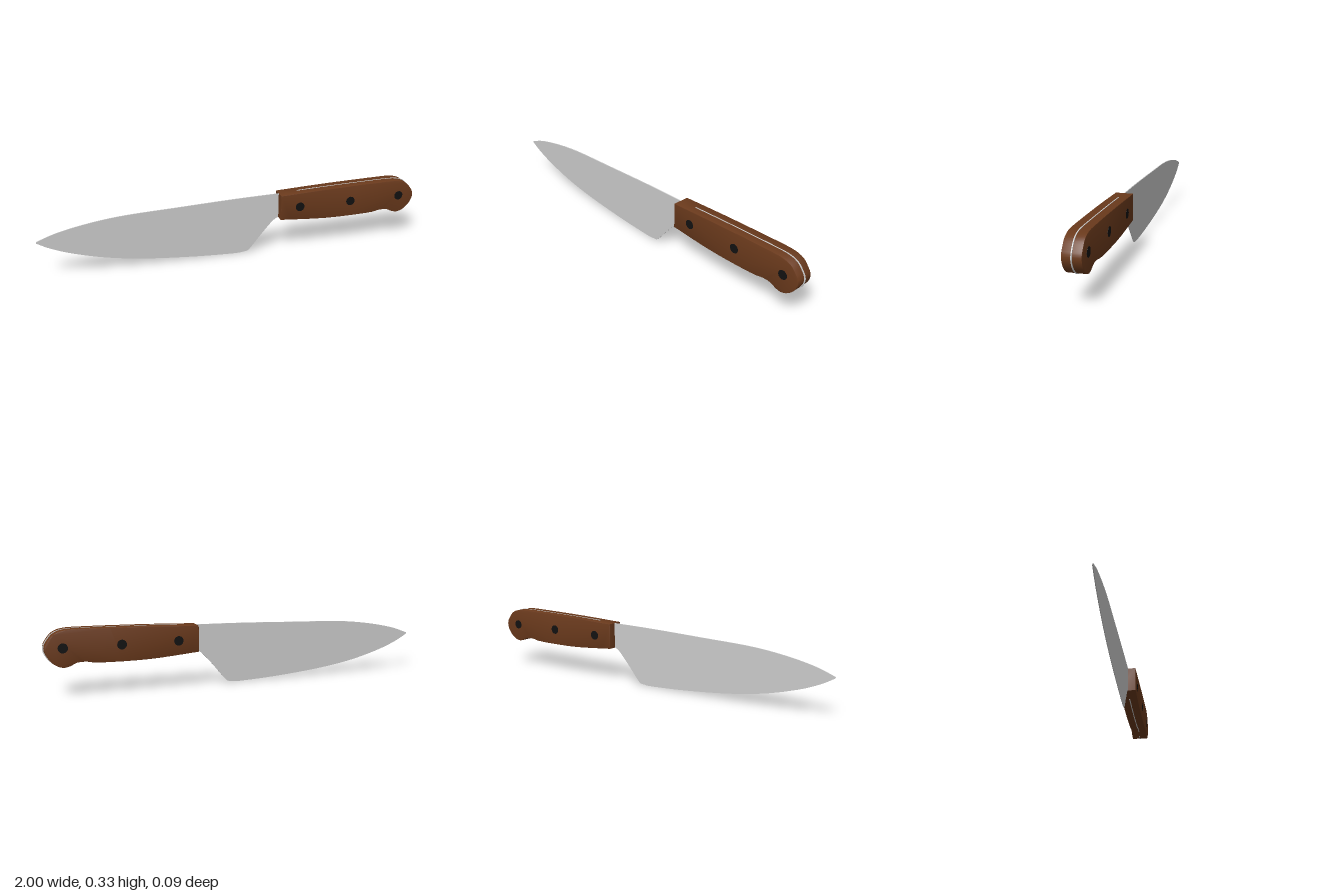
import * as THREE from 'three';
import { toCreasedNormals } from 'three/addons/utils/BufferGeometryUtils.js';

const steel = new THREE.MeshStandardMaterial({ color: 0xcccccc });
const wood = new THREE.MeshStandardMaterial({ color: 0x6b3a1c });
const black = new THREE.MeshStandardMaterial({ color: 0x111111 });

const vecs = (pts) => pts.map(([x, y]) => new THREE.Vector2(x, y));

// Closed outline made of several smooth runs that meet at corners
function outline(runs) {
  const shape = new THREE.Shape();
  shape.moveTo(...runs[0][0]);
  for (const run of runs) {
    if (run.length === 2) shape.lineTo(...run[1]);
    else shape.splineThru(vecs(run.slice(1)));
  }
  return shape;
}

// Flat plate centred on z = 0
function plate(shape, depth, curveSegments, bevel = 0) {
  const geo = new THREE.ExtrudeGeometry(shape, {
    depth: depth - 2 * bevel, curveSegments,
    bevelEnabled: bevel > 0, bevelThickness: bevel, bevelSize: bevel, bevelOffset: -bevel, bevelSegments: 2,
  });
  return geo.translate(0, 0, -depth / 2 + bevel);
}

function addMesh(parent, name, geometry, material) {
  const mesh = new THREE.Mesh(geometry, material);
  mesh.name = name;
  parent.add(mesh);
  return mesh;
}

export function createModel() {
  const group = new THREE.Group();
  group.name = 'kitchenKnife';

  // Blade: curved spine, slanted heel and curved edge, thinning downwards
  const bladeShape = outline([
    [[-1, 0.197], [-0.9, 0.232], [-0.75, 0.263], [-0.57, 0.284], [-0.3, 0.295], [0, 0.306], [0.26, 0.311]],
    [[0.26, 0.311], [0.26, 0.18]],
    [[0.26, 0.18], [0.235, 0.177], [0.205, 0.156], [0.15, 0.095], [0.09, 0.023], [0.07, 0.006], [0.05, 0.003]],
    [[0.05, 0.003], [0, 0], [-0.2, 0.01], [-0.45, 0.033], [-0.65, 0.065], [-0.82, 0.11], [-0.93, 0.152], [-1, 0.19]],
  ]);
  const bladeGeo = plate(bladeShape, 1, 32);
  const p = bladeGeo.attributes.position;
  for (let i = 0; i < p.count; i++) p.setZ(i, p.getZ(i) * (0.0024 + 0.009 * p.getY(i)));
  addMesh(group, 'blade', toCreasedNormals(bladeGeo, 0.6), steel);

  // Handle: gently swelling grip with a hooked, rounded butt
  const butt = [
    [0.5, 0.321], [0.8, 0.327], [0.9, 0.325], [0.95, 0.309], [0.978, 0.28], [0.995, 0.25], [0.994, 0.218],
    [0.974, 0.183], [0.944, 0.157], [0.91, 0.146], [0.88, 0.152], [0.845, 0.167], [0.8, 0.168],
    [0.75, 0.16], [0.6, 0.157], [0.45, 0.161],
  ];
  const handleShape = outline([[[0.24, 0.311], ...butt, [0.24, 0.178]], [[0.24, 0.178], [0.24, 0.311]]]);
  addMesh(group, 'handle', toCreasedNormals(plate(handleShape, 0.088, 3, 0.002), 0.6), wood);

  // Tang: thin strip standing just proud of the grip all round
  const proud = ([x, y]) => [0.34 + (x - 0.34) * 1.0075, 0.24 + (y - 0.24) * 1.015];
  const tangShape = outline([
    [[0.34, 0.316], ...butt, [0.34, 0.169]].map(proud),
    [proud([0.34, 0.169]), proud([0.34, 0.316])],
  ]);
  addMesh(group, 'tang', toCreasedNormals(plate(tangShape, 0.005, 3), 0.6), steel);

  // Rivets through the grip
  for (const x of [0.345, 0.63, 0.912]) {
    const rivet = addMesh(group, 'rivet', new THREE.CylinderGeometry(0.024, 0.024, 0.0895, 20), black);
    rivet.rotation.x = Math.PI / 2;
    rivet.position.set(x, 0.24, 0);
  }
  return group;
}
